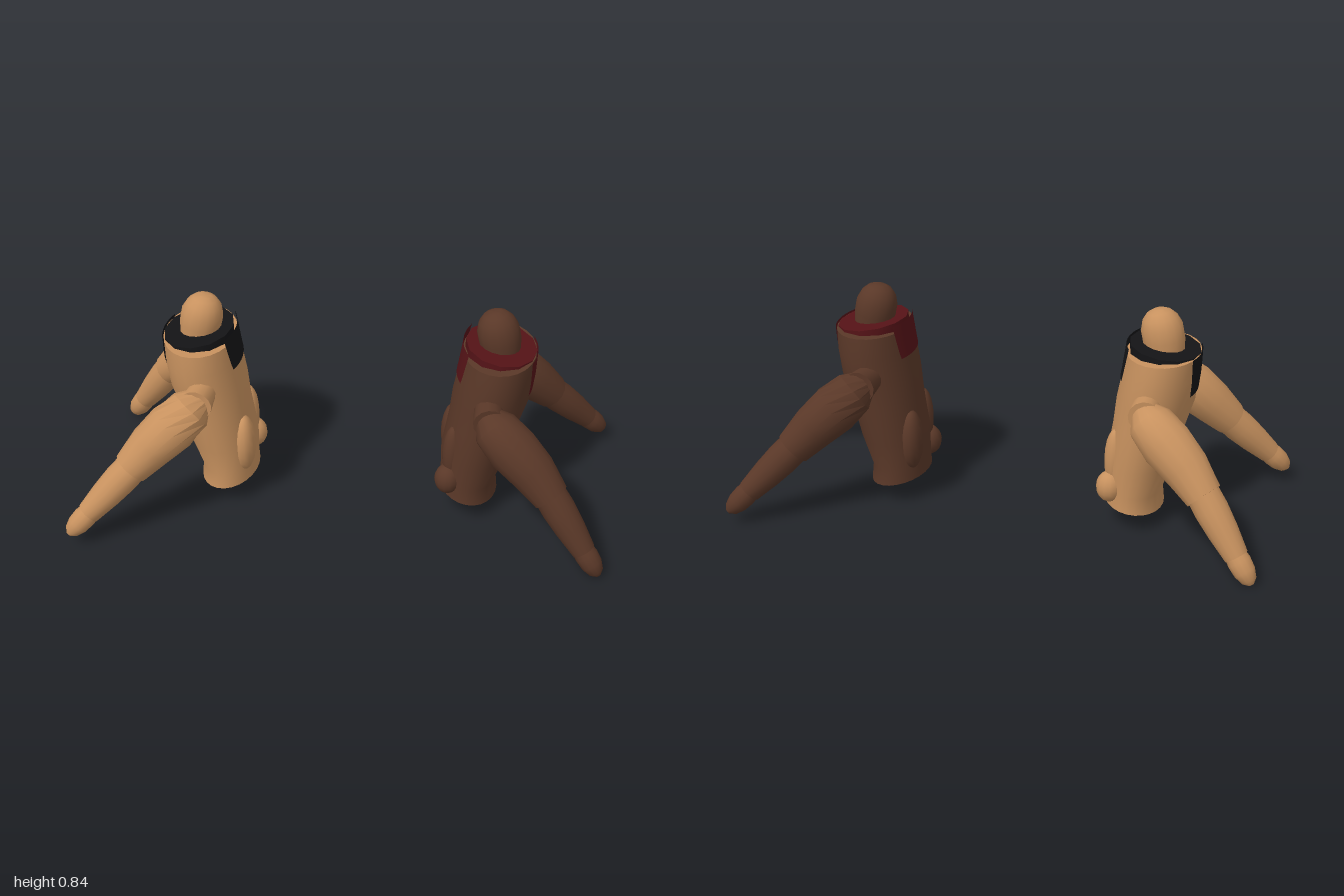
import * as THREE from 'three';
import { toCreasedNormals } from 'three/addons/utils/BufferGeometryUtils.js';

const V = (x, y, z) => new THREE.Vector3(x, y, z);

// Skin a grid of points: rings listed bottom to top, optionally closed and capped
function skin(rings, closed = true) {
  const n = rings[0].length, pos = [], idx = [];
  rings.forEach((r) => r.forEach((p) => pos.push(p.x, p.y, p.z)));
  for (let i = 0; i < rings.length - 1; i++) {
    for (let j = 0; j < (closed ? n : n - 1); j++) {
      const a = i * n + j, b = i * n + ((j + 1) % n);
      idx.push(a, a + n, b, b, a + n, b + n);
    }
  }
  if (closed) {
    [0, rings.length - 1].forEach((k) => {
      const c = rings[k].reduce((s, p) => s.add(p), V(0, 0, 0)).divideScalar(n);
      const m = pos.length / 3, o = k * n;
      pos.push(c.x, c.y, c.z);
      for (let j = 0; j < n; j++) {
        const a = o + j, b = o + ((j + 1) % n);
        if (k === 0) idx.push(m, a, b);
        else idx.push(m, b, a);
      }
    });
  }
  const g = new THREE.BufferGeometry();
  g.setAttribute('position', new THREE.Float32BufferAttribute(pos, 3));
  g.setIndex(idx);
  return toCreasedNormals(g, 0.7);
}

// Limb along a path of [x, y, z, radius], rings square to the path
function limb(path, sides = 14) {
  const pts = path.map((p) => V(p[0], p[1], p[2]));
  return skin(pts.map((p, i) => {
    const dir = pts[Math.min(i + 1, pts.length - 1)].clone().sub(pts[Math.max(i - 1, 0)]).normalize();
    const q = new THREE.Quaternion().setFromUnitVectors(V(0, 1, 0), dir);
    return Array.from({ length: sides }, (_, j) => {
      const a = (j / sides) * Math.PI * 2;
      return V(Math.cos(a), 0, Math.sin(a)).multiplyScalar(path[i][3]).applyQuaternion(q).add(p);
    });
  }));
}

// Torso sections: y, centre x, half depth, half width, tilt
const SECTIONS = [
  [0.08, -0.46, 0.11, 0.16, 0.15],
  [0.14, -0.458, 0.105, 0.156, 0.1],
  [0.25, -0.478, 0.126, 0.172, 0],
  [0.4, -0.508, 0.132, 0.18, 0],
  [0.5, -0.528, 0.142, 0.19, 0],
  [0.6, -0.543, 0.138, 0.198, 0],
  [0.68, -0.55, 0.134, 0.192, 0],
];

function torsoPoint(y, a, grow = 0) {
  let i = 0;
  while (i < SECTIONS.length - 2 && y > SECTIONS[i + 1][0]) i++;
  const t = (y - SECTIONS[i][0]) / (SECTIONS[i + 1][0] - SECTIONS[i][0]);
  const [, cx, rx, rz, tilt] = SECTIONS[i].map((v, k) => THREE.MathUtils.lerp(v, SECTIONS[i + 1][k], t));
  const dx = (rx + grow) * Math.cos(a);
  return V(cx + dx, y + tilt * dx, (rz + grow) * Math.sin(a));
}

// Shirt panel lying on the torso between two bottom angles and two top angles
function panel(y0, y1, bottom, top) {
  const rows = [];
  for (let i = 0; i <= 5; i++) {
    const t = i / 5, row = [];
    for (let j = 0; j <= 8; j++) {
      const lo = THREE.MathUtils.lerp(bottom[0], top[0], t);
      const hi = THREE.MathUtils.lerp(bottom[1], top[1], t);
      row.push(torsoPoint(THREE.MathUtils.lerp(y0, y1, t), THREE.MathUtils.lerp(lo, hi, j / 8), 0.004));
    }
    rows.push(row);
  }
  return skin(rows, false);
}

function createBust(skinColor, shirtColor) {
  const bust = new THREE.Group();
  const body = new THREE.MeshStandardMaterial({ color: skinColor });
  const shirt = new THREE.MeshStandardMaterial({ color: shirtColor, side: THREE.DoubleSide });
  const add = (name, geometry, material = body) => {
    const m = new THREE.Mesh(geometry, material);
    m.name = name;
    bust.add(m);
    return m;
  };
  const circle = (n, f) => Array.from({ length: n }, (_, j) => f((j / n) * Math.PI * 2));

  add('torso', skin(SECTIONS.map((s) => circle(24, (a) => torsoPoint(s[0], a)))));

  // Shirt: tilted collar disc, chest opening and back panel
  add('collar', skin([0, 1].map((k) => circle(12, (a) => {
    const x = Math.cos(a) * 0.13;
    return V(-0.555 + x, k ? 0.698 + x * 0.13 : 0.66, Math.sin(a) * 0.155);
  }))), shirt);
  add('chestPanel', panel(0.54, 0.685, [Math.PI - 0.18, Math.PI + 0.46], [Math.PI - 0.48, Math.PI + 0.54]), shirt);
  add('backPanel', panel(0.58, 0.71, [-0.5, 0.5], [-0.62, 0.62]), shirt);

  // Rounded neck stump leaning back
  add('neck', limb([
    [-0.555, 0.66, 0, 0.07], [-0.548, 0.72, 0, 0.077], [-0.538, 0.765, 0, 0.077],
    [-0.53, 0.8, 0, 0.064], [-0.526, 0.822, 0, 0.044], [-0.524, 0.832, 0, 0.022],
  ], 16));

  // Arms: s is the side, the two poses differ slightly below the elbow
  [[1, 0.975, 0.065, 0.45], [-1, 0.94, 0.025, 0.418]].forEach(([s, tx, ty, tz]) => {
    const side = s > 0 ? 'Right' : 'Left';
    const elbow = V(-0.755, 0.295, s * 0.338), tip = V(-tx, ty, s * tz);
    const along = (t, r) => [...elbow.clone().lerp(tip, t).toArray(), r];
    add('shoulder' + side, limb([[-0.52, 0.52, s * 0.15, 0.05], [-0.53, 0.515, s * 0.25, 0.06]]));
    add('upperArm' + side, limb([
      [-0.515, 0.525, s * 0.205, 0.045], [-0.55, 0.495, s * 0.245, 0.083], [-0.615, 0.435, s * 0.278, 0.094],
      [-0.69, 0.365, s * 0.306, 0.085], along(0.04, 0.068),
    ]));
    add('forearm' + side, limb([along(-0.1, 0.06), along(0.2, 0.062), along(0.45, 0.056), along(0.74, 0.044)]));
    add('hand' + side, limb([along(0.66, 0.036), along(0.8, 0.043), along(0.92, 0.04), along(1.02, 0.028), along(1.07, 0.01)]));
  });

  // Swellings low on the back
  [['hipBulge', [-0.385, 0.165, -0.112], [0.05, 0.06, 0.05]],
    ['hipRidge', [-0.4, 0.27, -0.095], [0.04, 0.12, 0.04]],
    ['backBulge', [-0.39, 0.25, 0.085], [0.045, 0.12, 0.06]],
  ].forEach(([name, p, r]) => {
    const m = add(name, new THREE.SphereGeometry(1, 14, 10));
    m.position.set(...p);
    m.scale.set(...r);
  });
  return bust;
}

export function createModel() {
  const group = new THREE.Group();
  const light = createBust(0xc8925f, 0x141416);
  light.name = 'lightBust';
  const dark = createBust(0x5a3828, 0x551317);
  dark.name = 'darkBust';
  dark.rotation.y = Math.PI;
  group.add(light, dark);
  return group;
}
